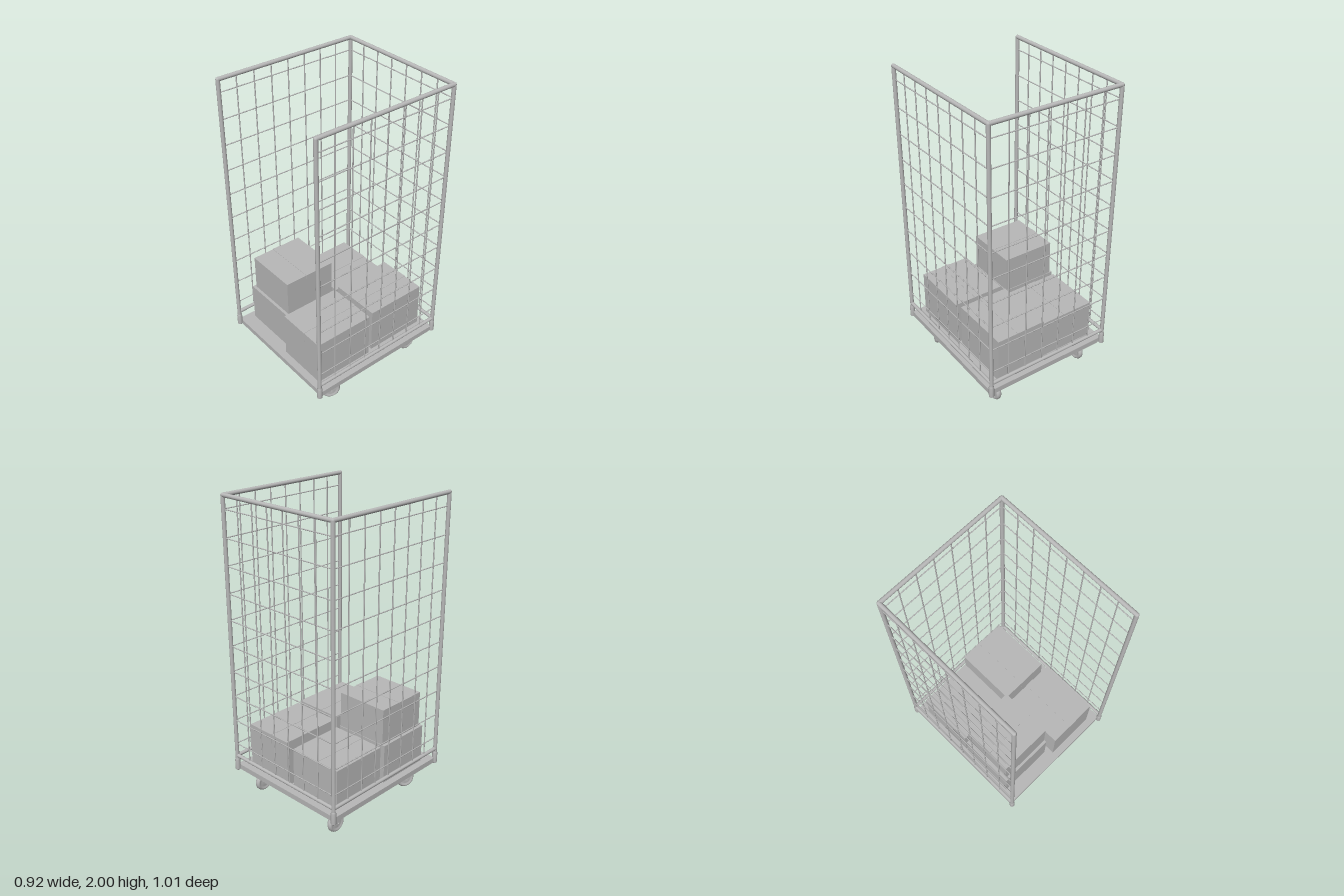
import * as THREE from 'three';

const grey = new THREE.MeshStandardMaterial({ color: 0xb8b8b8 });
grey.name = 'light grey';

const X = 0.441, Z = 0.486, TOP = 1.987, RAIL = 0.272;

function add(parent, name, geometry, x = 0, y = 0, z = 0) {
  const mesh = new THREE.Mesh(geometry, grey);
  mesh.name = name;
  mesh.position.set(x, y, z);
  parent.add(mesh);
  return mesh;
}

function box(parent, name, w, h, d, x, y, z) {
  return add(parent, name, new THREE.BoxGeometry(w, h, d), x, y, z);
}

// Round bar between two points
function bar(parent, name, a, b, r, sides = 16) {
  const p = new THREE.Vector3(...a), q = new THREE.Vector3(...b);
  const dir = q.clone().sub(p);
  const mesh = add(parent, name, new THREE.CylinderGeometry(r, r, dir.length(), sides));
  mesh.position.copy(p).add(q).multiplyScalar(0.5);
  mesh.quaternion.setFromUnitVectors(new THREE.Vector3(0, 1, 0), dir.normalize());
  return mesh;
}

// Mesh wall: top and bottom rails plus wires; at(t, y) maps -1..1 along the wall
function wall(parent, name, at, columns) {
  const g = new THREE.Group();
  g.name = name;
  parent.add(g);
  bar(g, 'topRail', at(-1, TOP), at(1, TOP), 0.013);
  bar(g, 'bottomRail', at(-1, RAIL), at(1, RAIL), 0.012);
  for (let i = 1; i < columns; i++) {
    const t = -1 + (2 * i) / columns;
    bar(g, 'verticalWire', at(t, RAIL), at(t, TOP), 0.004, 8);
  }
  for (let i = 0; i < 10; i++) {
    const y = 0.36 + i * 0.1717;
    bar(g, 'crossWire', at(-1, y), at(1, y), 0.0035, 8);
  }
}

// Carton with a tape strip over the lid and down two sides
function carton(parent, x0, x1, y0, y1, z0, z1, alongX) {
  const g = new THREE.Group();
  g.name = 'carton';
  parent.add(g);
  const w = x1 - x0, h = y1 - y0, d = z1 - z0, t = 0.002, drop = 0.07;
  g.position.set((x0 + x1) / 2, y0, (z0 + z1) / 2);
  box(g, 'cartonBody', w, h, d, 0, h / 2, 0);
  const tape = 0.06, len = (alongX ? w : d) + 2 * t;
  box(g, 'lidTape', alongX ? len : tape, t, alongX ? tape : len, 0, h + t / 2, 0);
  for (const s of [-1, 1]) {
    if (alongX) box(g, 'sideTape', t, drop, tape, s * (w + t) / 2, h - drop / 2, 0);
    else box(g, 'sideTape', tape, drop, t, 0, h - drop / 2, s * (d + t) / 2);
  }
}

// Rounded wheel profile, turned to roll along z
function wheelGeometry() {
  const profile = [[0, -0.016], [0.025, -0.016], [0.03, -0.013], [0.042, -0.014], [0.048, -0.019],
    [0.056, -0.016], [0.062, -0.007], [0.062, 0.007], [0.056, 0.016], [0.048, 0.019],
    [0.042, 0.014], [0.03, 0.013], [0.025, 0.016], [0, 0.016]];
  return new THREE.LatheGeometry(profile.map(p => new THREE.Vector2(...p)), 32).rotateZ(-Math.PI / 2);
}

// Fork cheek: tapers from the crown to the axle
function cheekGeometry(trail) {
  const s = new THREE.Shape();
  s.moveTo(-0.032, 0.15);
  s.lineTo(0.03, 0.15);
  s.lineTo(0.03, 0.125);
  s.lineTo(trail + 0.012, 0.058);
  s.absarc(trail, 0.058, 0.012, 0, -Math.PI, true);
  s.lineTo(-0.032, 0.12);
  s.closePath();
  const g = new THREE.ExtrudeGeometry(s, { depth: 0.004, bevelEnabled: false, curveSegments: 8 });
  return g.translate(0, 0, -0.002).rotateY(-Math.PI / 2);
}

function caster(parent, x, z, yaw, swivel) {
  const g = new THREE.Group();
  g.name = swivel ? 'swivelCaster' : 'fixedCaster';
  g.position.set(x, 0, z);
  parent.add(g);
  box(g, 'mountPlate', 0.09, 0.008, 0.08, 0, 0.17, 0);
  const fork = new THREE.Group();
  fork.name = 'fork';
  fork.rotation.y = yaw;
  g.add(fork);
  const trail = swivel ? -0.038 : 0;
  add(fork, 'swivelBearing', new THREE.CylinderGeometry(0.03, 0.026, 0.02, 24), 0, 0.158, 0);
  box(fork, 'forkCrown', 0.054, 0.005, 0.062, 0, 0.149, 0);
  for (const s of [-1, 1]) add(fork, 'forkCheek', cheekGeometry(trail), s * 0.025, 0, 0);
  add(fork, 'wheel', wheelGeometry(), 0, 0.0625, trail);
  bar(fork, 'axle', [-0.031, 0.0625, trail], [0.031, 0.0625, trail], 0.007, 12);
  if (swivel) {
    const pedal = box(fork, 'brakePedal', 0.045, 0.007, 0.055, 0, 0.14, 0.052);
    pedal.rotation.x = 0.2;
  }
}

export function createModel() {
  const model = new THREE.Group();
  model.name = 'rollCage';

  // Deck plate on a beam frame
  const deck = new THREE.Group();
  deck.name = 'deck';
  model.add(deck);
  box(deck, 'deckPlate', 0.86, 0.008, 0.95, 0, 0.201, 0);
  for (const s of [-1, 1]) {
    box(deck, 'sideBeam', 0.03, 0.035, 0.955, s * 0.43, 0.1875, 0);
    box(deck, 'endBeam', 0.83, 0.035, 0.03, 0, 0.1875, s * 0.465);
    box(deck, 'casterBeam', 0.83, 0.022, 0.04, 0, 0.186, s * 0.36);
  }

  // Corner posts with sockets and rounded caps
  for (const sx of [-1, 1]) for (const sz of [-1, 1]) {
    const x = sx * X, z = sz * Z;
    bar(model, 'post', [x, 0.2, z], [x, TOP, z], 0.013);
    add(model, 'postCap', new THREE.SphereGeometry(0.013, 16, 10), x, TOP, z);
    const socket = [[0, 0.165], [0.013, 0.165], [0.017, 0.17], [0.017, 0.24], [0.013, 0.25]];
    add(model, 'postSocket', new THREE.LatheGeometry(socket.map(p => new THREE.Vector2(...p)), 20), x, 0, z);
  }

  // Three mesh walls; the front stays open
  wall(model, 'backWall', (t, y) => [t * X, y, -Z], 7);
  wall(model, 'leftWall', (t, y) => [X, y, t * Z], 8);
  wall(model, 'rightWall', (t, y) => [-X, y, t * Z], 8);

  // Cargo
  const base = 0.205;
  carton(model, -0.40, -0.018, base, 0.468, 0.01, 0.388, true);
  carton(model, -0.382, -0.022, 0.47, 0.71, 0.012, 0.37, true);
  carton(model, -0.392, -0.016, base, 0.468, -0.406, -0.018, false);
  carton(model, 0.008, 0.352, base, 0.514, -0.434, -0.016, false);
  carton(model, 0.02, 0.366, base, 0.514, 0.02, 0.432, false);

  // Casters: braked swivels in front, fixed behind
  for (const s of [-1, 1]) {
    caster(model, s * 0.335, 0.362, -0.4, true);
    caster(model, s * 0.335, -0.36, 0, false);
  }
  return model;
}
